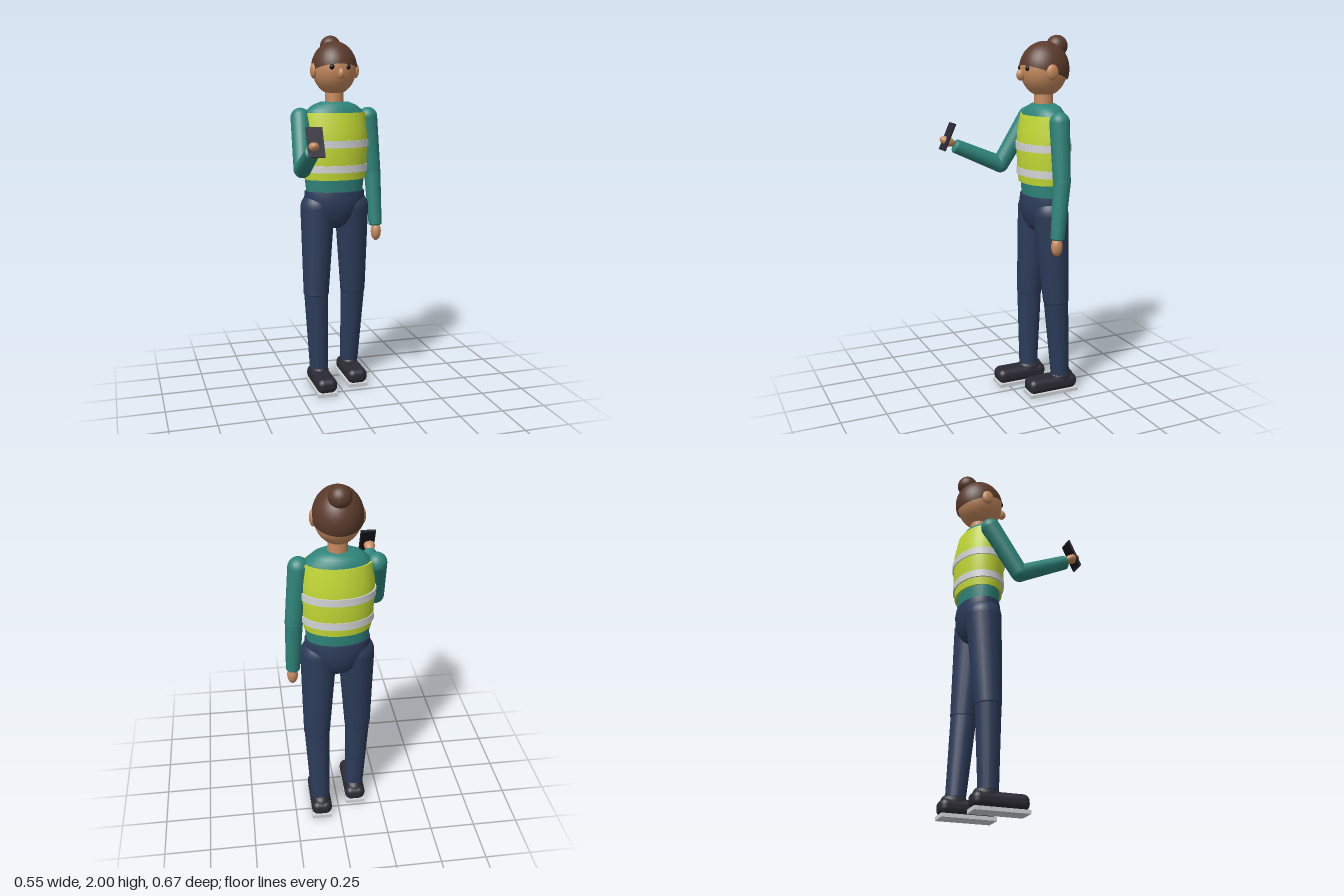
import * as THREE from 'three';
import { mergeVertices, toCreasedNormals } from 'three/addons/utils/BufferGeometryUtils.js';
import { RoundedBoxGeometry } from 'three/addons/geometries/RoundedBoxGeometry.js';

const mat = (name, color, side = THREE.FrontSide) => {
  const m = new THREE.MeshStandardMaterial({ color, side });
  m.name = name;
  return m;
};
const V = (x, y, z) => new THREE.Vector3(x, y, z);
const UP = V(0, 1, 0);
const BODY_Z = -0.18;

export function createModel() {
  const root = new THREE.Group();
  root.name = 'worker';
  const M = {
    skin: mat('skin', 0xc68a5e),
    hair: mat('hair', 0x5a3a2b, THREE.DoubleSide),
    shirt: mat('shirt teal', 0x2f857b),
    vest: mat('vest yellow', 0xc3d935, THREE.DoubleSide),
    band: mat('reflective grey', 0xd2d4d6, THREE.DoubleSide),
    trousers: mat('trousers navy', 0x2c3c5a),
    dark: mat('shoe charcoal', 0x2b2a34),
    black: mat('black', 0x15141a),
  };

  const add = (parent, name, geo, material, x = 0, y = 0, z = 0) => {
    const mesh = new THREE.Mesh(geo, material);
    mesh.name = name;
    mesh.position.set(x, y, z);
    parent.add(mesh);
    return mesh;
  };
  const group = (name, parent = root) => {
    const g = new THREE.Group();
    g.name = name;
    parent.add(g);
    return g;
  };
  const ball = (parent, name, material, p, rx, ry = rx, rz = rx) =>
    add(parent, name, new THREE.SphereGeometry(1, 24, 16).scale(rx, ry, rz), material, p.x, p.y, p.z);

  // Elliptical loft through rows of [y, half width, half depth], bottom to top
  const loft = (rows) => {
    const geo = new THREE.LatheGeometry(rows.map(([y, rx]) => new THREE.Vector2(rx, y)), 36);
    const pos = geo.attributes.position;
    for (let i = 0; i < pos.count; i++) {
      const [, rx, rz] = rows[i % rows.length];
      pos.setZ(i, pos.getZ(i) * rz / rx);
    }
    geo.deleteAttribute('uv');
    geo.deleteAttribute('normal');
    return toCreasedNormals(mergeVertices(geo, 1e-5), 0.9);
  };

  // Tapered limb from a to b: round joint at a, shallow dome at b
  const limb = (parent, name, material, a, b, ra, rb, dome = 0.35) => {
    const g = group(name, parent);
    const dir = b.clone().sub(a);
    const q = new THREE.Quaternion().setFromUnitVectors(UP, dir.clone().normalize());
    const mid = a.clone().add(b).multiplyScalar(0.5);
    add(g, name + 'Tube', new THREE.CylinderGeometry(rb, ra, dir.length(), 20), material, mid.x, mid.y, mid.z)
      .quaternion.copy(q);
    ball(g, name + 'Joint', material, a, ra);
    ball(g, name + 'End', material, b, rb, rb * dome, rb).quaternion.copy(q);
  };

  // Torso, pelvis and vest
  add(root, 'shirtBody', loft([
    [1.08, 0.155, 0.1], [1.2, 0.17, 0.11], [1.4, 0.176, 0.118], [1.54, 0.176, 0.112],
    [1.59, 0.162, 0.1], [1.62, 0.125, 0.085], [1.638, 0.08, 0.06], [1.642, 0.001, 0.001],
  ]), M.shirt, 0, 0, BODY_Z);
  add(root, 'pelvis', loft([
    [0.92, 0.001, 0.001], [0.928, 0.05, 0.04], [0.95, 0.09, 0.075], [0.99, 0.128, 0.1],
    [1.05, 0.162, 0.114], [1.1, 0.175, 0.118], [1.14, 0.172, 0.112], [1.143, 0.15, 0.095],
  ]), M.trousers, 0, 0, BODY_Z);
  add(root, 'vest', loft([
    [1.212, 0.16, 0.1], [1.21, 0.176, 0.124], [1.3, 0.186, 0.132], [1.4, 0.19, 0.136],
    [1.48, 0.188, 0.132], [1.58, 0.178, 0.112], [1.578, 0.16, 0.1],
  ]), M.vest, 0, 0, BODY_Z);
  [[1.272, 0.19, 0.135], [1.41, 0.197, 0.141]].forEach(([y, rx, rz], i) =>
    add(root, 'reflectiveBand' + (i + 1), loft([
      [y - 0.02, rx - 0.014, rz - 0.014], [y - 0.02, rx, rz],
      [y + 0.02, rx, rz], [y + 0.02, rx - 0.014, rz - 0.014],
    ]), M.band, 0, 0, BODY_Z));

  // Head
  const head = group('head');
  add(head, 'neck', new THREE.CylinderGeometry(0.05, 0.053, 0.13, 20), M.skin, 0, 1.655, BODY_Z);
  ball(head, 'face', M.skin, V(0, 1.82, BODY_Z), 0.122, 0.145, 0.13);
  const cap = new THREE.SphereGeometry(1, 32, 16, 0, Math.PI * 2, 0, Math.PI / 2 + 0.11);
  add(head, 'hairCap', cap.rotateX(-0.28).scale(0.127, 0.148, 0.138), M.hair, 0, 1.82, BODY_Z - 0.003);
  ball(head, 'hairBun', M.hair, V(0, 1.942, -0.257), 0.058);
  ball(head, 'nose', M.skin, V(0, 1.792, -0.045), 0.018, 0.03, 0.026);
  for (const s of [1, -1]) {
    ball(head, s > 0 ? 'leftEar' : 'rightEar', M.skin, V(s * 0.12, 1.808, -0.172), 0.018, 0.042, 0.034);
    ball(head, s > 0 ? 'leftEye' : 'rightEye', M.black, V(s * 0.045, 1.828, -0.062), 0.014, 0.015, 0.011);
  }

  // Legs and shoes, right foot a step ahead
  const legs = [
    ['left', 1, -0.21, -0.246],
    ['right', -1, -0.155, -0.146],
  ];
  for (const [side, s, kneeZ, ankleZ] of legs) {
    const leg = group(side + 'Leg');
    const knee = V(s * 0.117, 0.55, kneeZ);
    limb(leg, side + 'Thigh', M.trousers, V(s * 0.1, 1.045, BODY_Z), knee, 0.097, 0.072);
    limb(leg, side + 'Shin', M.trousers, knee, V(s * 0.106, 0.11, ankleZ), 0.069, 0.053, 0.1);
    const shoe = group(side + 'Shoe', leg);
    shoe.position.set(s * 0.104, 0, ankleZ + 0.058);
    add(shoe, side + 'Sole', new THREE.BoxGeometry(0.112, 0.02, 0.292), M.band, 0, 0.01, 0);
    add(shoe, side + 'Upper', new RoundedBoxGeometry(0.116, 0.085, 0.298, 5, 0.036), M.dark, 0, 0.058, 0);
    ball(shoe, side + 'Heel', M.dark, V(0, 0.085, -0.066), 0.055, 0.048, 0.072);
  }

  // Hanging left arm
  const leftArm = group('leftArm');
  const leftElbow = V(0.226, 1.24, -0.18);
  limb(leftArm, 'leftUpperSleeve', M.shirt, V(0.196, 1.553, -0.178), leftElbow, 0.054, 0.047);
  limb(leftArm, 'leftLowerSleeve', M.shirt, leftElbow, V(0.236, 0.94, -0.153), 0.047, 0.038);
  ball(leftArm, 'leftHand', M.skin, V(0.239, 0.895, -0.148), 0.029, 0.052, 0.032);

  // Bent right arm holding a phone
  const rightArm = group('rightArm');
  const rightElbow = V(-0.224, 1.285, -0.02);
  limb(rightArm, 'rightUpperSleeve', M.shirt, V(-0.196, 1.553, -0.178), rightElbow, 0.054, 0.048, 1);
  limb(rightArm, 'rightLowerSleeve', M.shirt, rightElbow, V(-0.235, 1.4, 0.243), 0.047, 0.039);
  ball(rightArm, 'rightHand', M.skin, V(-0.242, 1.428, 0.288), 0.031, 0.026, 0.046).rotation.x = -0.4;
  const phone = group('phone', rightArm);
  phone.position.set(-0.23, 1.455, 0.292);
  phone.rotation.x = -0.42;
  add(phone, 'phoneCase', new THREE.BoxGeometry(0.084, 0.16, 0.011), M.dark);
  add(phone, 'phoneScreen', new THREE.BoxGeometry(0.076, 0.148, 0.003), M.black, 0, 0, -0.006);

  return root;
}
